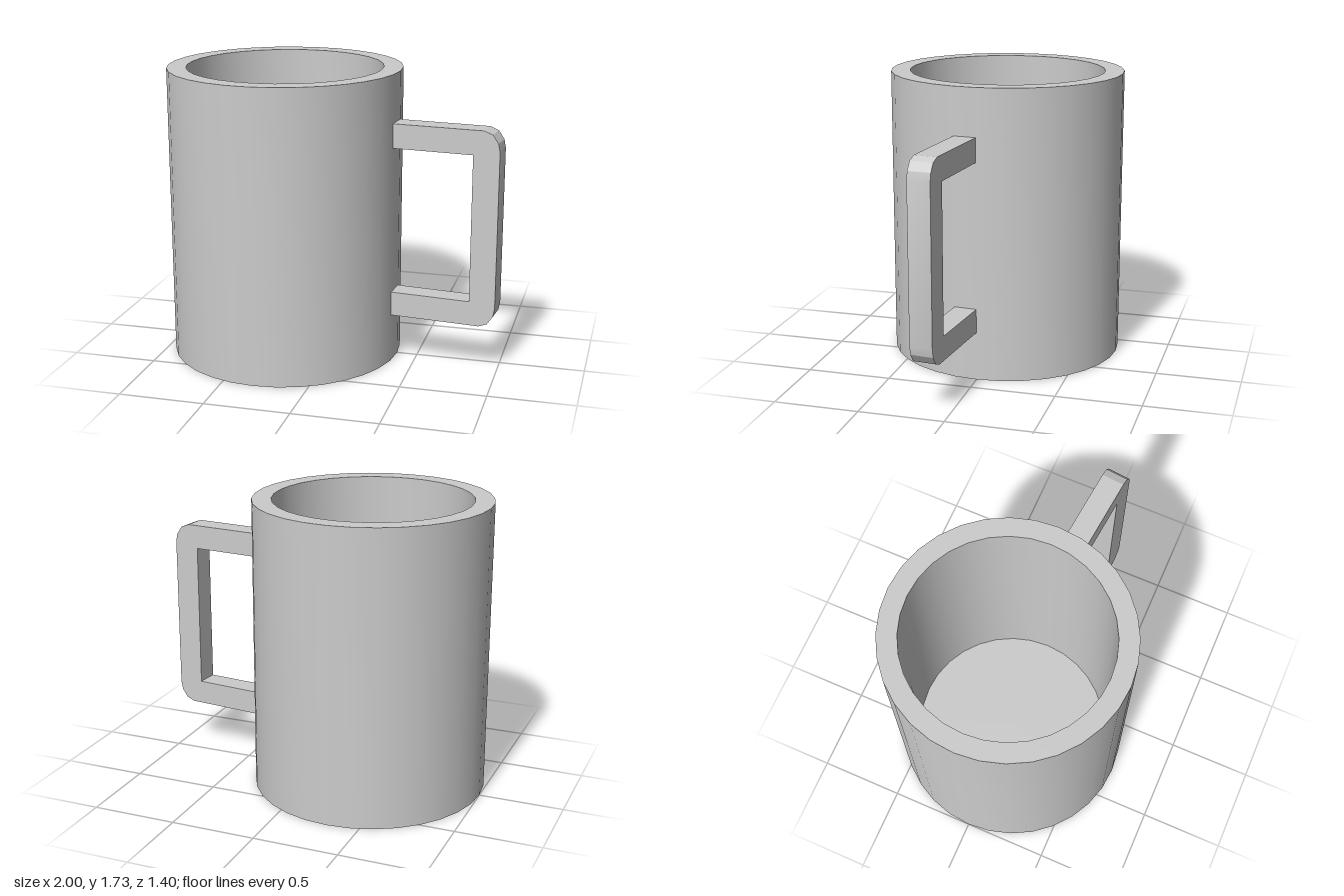
import * as THREE from 'three';
import { toCreasedNormals } from 'three/addons/utils/BufferGeometryUtils.js';

const HEIGHT = 1.727, OUTER = 0.7, INNER = 0.586, FLOOR = 0.12;

export function createModel() {
  const group = new THREE.Group();
  group.name = 'mug';
  const material = new THREE.MeshStandardMaterial({ color: 0xcccccc });

  const add = (name, geometry) => {
    const mesh = new THREE.Mesh(toCreasedNormals(geometry, 0.35), material);
    mesh.name = name;
    group.add(mesh);
    return mesh;
  };

  // Hollow body: underside, outer wall, flat rim, inner wall, floor
  const profile = [
    [0, 0], [OUTER, 0], [OUTER, HEIGHT], [INNER, HEIGHT], [INNER, FLOOR], [0, FLOOR],
  ].map(([r, y]) => new THREE.Vector2(r, y));
  const body = add('body', new THREE.LatheGeometry(profile, 32));
  body.scale.x = 0.984;
  body.position.x = -0.311;

  // Square-section handle with bevelled outer corners, turned slightly forward
  const midY = 0.8675;
  const upper = [[0.623, 0.46], [0.613, 0.51], [0.58, 0.558], [0.53, 0.5775], [-0.03, 0.5775], [-0.03, 0.434], [0.47, 0.434]];
  const lower = upper.map(([x, y]) => [x, -y]).reverse();
  const outline = [...upper, ...lower].map(([x, y]) => new THREE.Vector2(x, y + midY));
  const handle = add('handle', new THREE.ExtrudeGeometry(new THREE.Shape(outline), { depth: 0.135, bevelEnabled: false }));
  handle.position.x = 0.38;
  handle.rotation.y = -0.1;

  return group;
}
